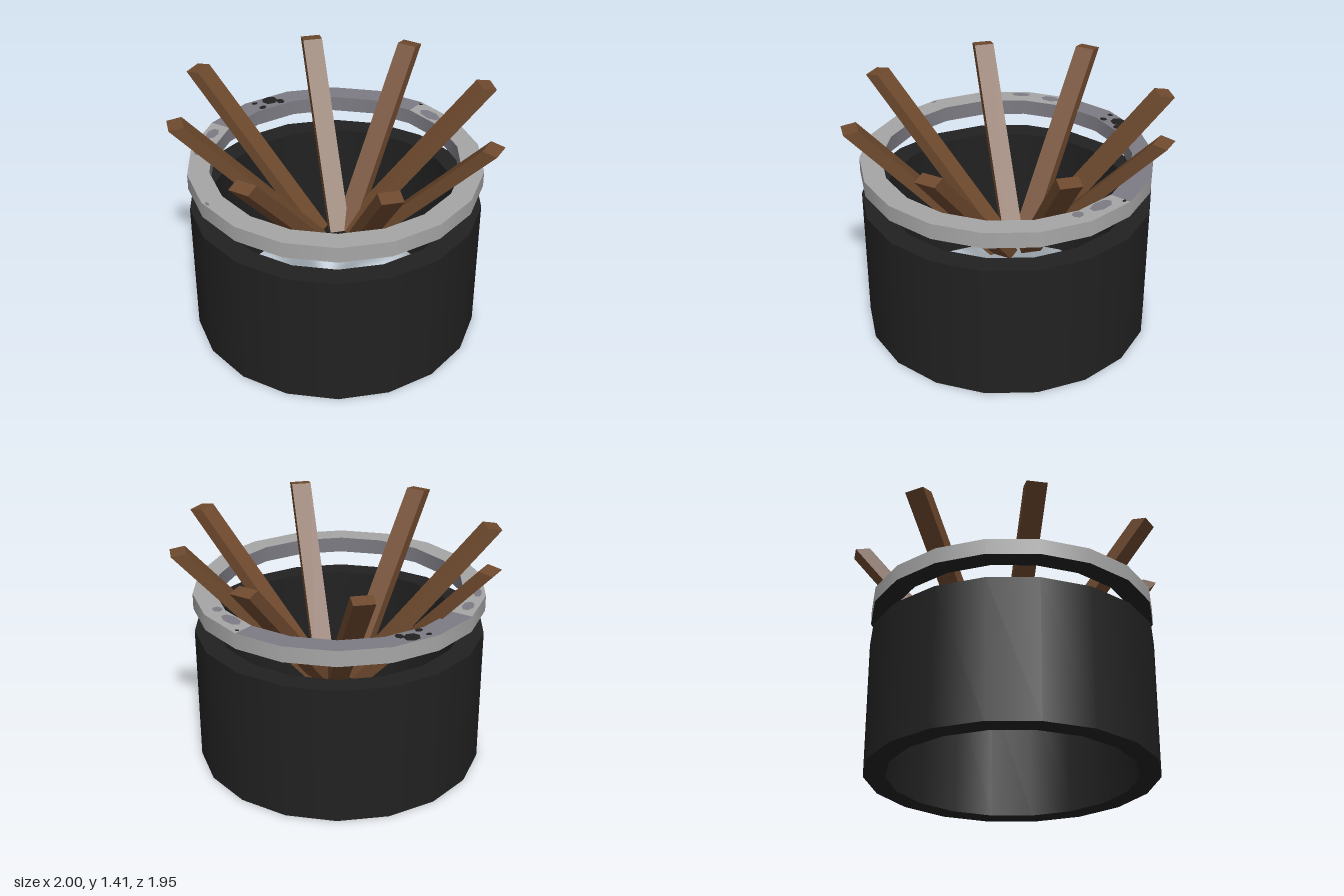
import * as THREE from 'three';

const mat = (name, color, side = THREE.FrontSide) => {
  const m = new THREE.MeshStandardMaterial({ color, side });
  m.name = name;
  return m;
};

export function createModel() {
  const black = mat('charcoal', 0x212121);
  const steel = mat('steel grey', 0xa6a6a6);
  const worn = mat('worn grey', 0x7d7b83);
  const wood = mat('brown wood', 0x6f4a2e);

  const model = new THREE.Group();
  const rad = THREE.MathUtils.degToRad;
  const CX = 0.015, CZ = 0.022, OUTER = 0.86, INNER = 0.733;

  // One face of an 18-sided band, from profile point a to b, over a span of degrees
  function band(parent, name, material, a, b, start = 90, span = 360) {
    const points = [new THREE.Vector2(...a), new THREE.Vector2(...b)];
    const geo = new THREE.LatheGeometry(points, Math.round(span / 20), rad(start), rad(span));
    const mesh = new THREE.Mesh(geo, material);
    mesh.name = name;
    parent.add(mesh);
  }

  // Open tube with walls and rims; the four materials are outer, inner, top and bottom
  function tube(name, y0, y1, [outer, inner, top, bottom]) {
    const g = new THREE.Group();
    g.name = name;
    g.position.set(CX, 0, CZ);
    band(g, name + 'OuterWall', outer, [OUTER, y0], [OUTER, y1]);
    band(g, name + 'InnerWall', inner, [INNER, y1], [INNER, y0]);
    if (top) band(g, name + 'TopRim', top, [OUTER, y1], [INNER, y1]);
    band(g, name + 'BottomRim', bottom, [INNER, y0], [OUTER, y0]);
    model.add(g);
    return g;
  }

  // Drum body, open at both ends
  tube('drum', 0, 0.84, [black, black, black, black]);

  // Floating hoop: worn at the back left of its top, dark underneath
  const y = 1.08;
  const hoop = tube('hoop', 0.985, y, [steel, worn, null, black]);
  band(hoop, 'hoopTopWorn', worn, [OUTER, y], [INNER, y], 170, 100);
  band(hoop, 'hoopTop', steel, [OUTER, y], [INNER, y], 270, 260);

  // Scuffs lying on the hoop: angle, radius, radial size, tangential size
  function scuff(material, angle, r, w, l) {
    const geo = new THREE.CircleGeometry(0.5, 7).rotateX(-Math.PI / 2).scale(l, 1, w);
    const mesh = new THREE.Mesh(geo, material);
    mesh.name = 'scuff';
    mesh.position.set(Math.sin(rad(angle)) * r, y + 0.003, Math.cos(rad(angle)) * r);
    mesh.rotation.y = rad(angle);
    hoop.add(mesh);
  }
  scuff(black, 240, 0.80, 0.09, 0.10);
  scuff(black, 236, 0.76, 0.06, 0.05);
  scuff(black, 246, 0.75, 0.04, 0.05);
  scuff(black, 247, 0.82, 0.03, 0.04);
  scuff(black, 169, 0.83, 0.02, 0.03);
  scuff(worn, 148, 0.77, 0.06, 0.07);
  scuff(worn, 160, 0.77, 0.08, 0.16);
  scuff(worn, 278, 0.79, 0.07, 0.12);
  scuff(worn, 292, 0.81, 0.05, 0.12);
  scuff(worn, 332, 0.84, 0.02, 0.04);

  // Leaning plank: a box sheared outwards, its origin at the outer tip
  const plank = new THREE.BoxGeometry(0.12, 0.905, 0.085);
  const p = plank.attributes.position;
  for (let i = 0; i < p.count; i++) {
    const py = p.getY(i), pz = p.getZ(i);
    p.setY(i, 0.95 + py - pz * 0.176);
    p.setZ(i, pz + py * 0.9 - 0.45);
  }
  plank.computeVertexNormals();

  // Tip x, tip z and heading in degrees from the front towards +x
  [
    [-0.025, 0.975, 0], [0.709, 0.676, 42], [1, -0.035, 90], [0.674, -0.706, 131.4],
    [0.0125, -0.98, 180], [-0.591, -0.741, 221.2], [-1, -0.03, 270], [-0.727, 0.607, 311.1],
  ].forEach(([x, z, heading], i) => {
    const mesh = new THREE.Mesh(plank, wood);
    mesh.name = 'plank' + (i + 1);
    mesh.position.set(x, 0, z);
    mesh.rotation.y = rad(heading);
    model.add(mesh);
  });

  return model;
}
